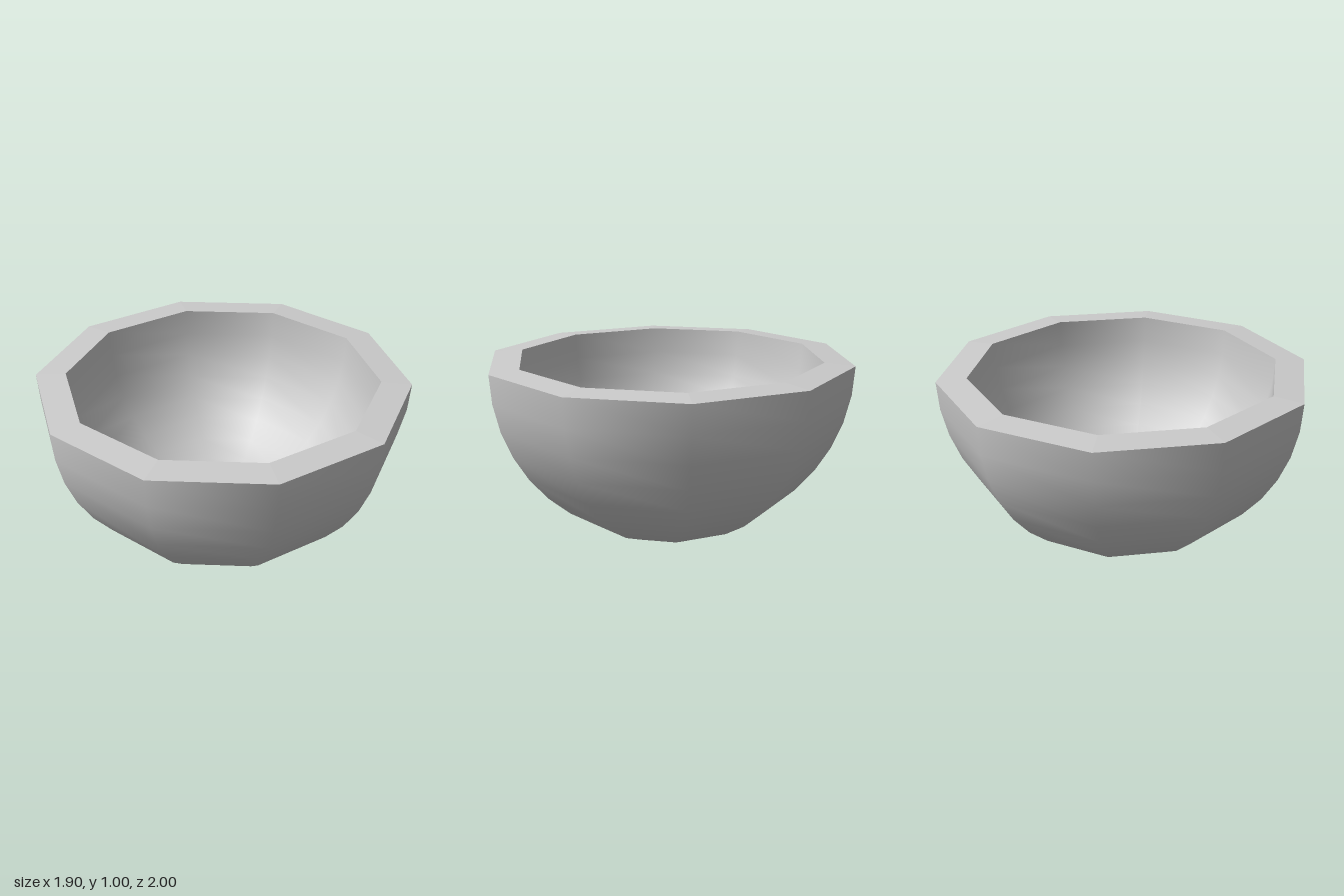
import * as THREE from 'three';

const SIDES = 10;       // facets around the bowl
const STEP = Math.PI / 20; // 9 degrees between rings
const CENTRE = Math.cos(STEP); // height of the sphere centre above the flat base
const INNER = 0.838;    // inner radius
const RIM_RISE = 0.012; // inner lip sits slightly higher than the outer one

// Half-sphere profile from the flat bottom up to the rim
function bowlProfile(radius, rise = 0) {
  const points = [new THREE.Vector2(0, CENTRE - radius * Math.cos(STEP))];
  for (let i = 1; i <= 10; i++) {
    const a = i * STEP;
    const lift = i === 10 ? rise : 0;
    points.push(new THREE.Vector2(radius * Math.sin(a), CENTRE - radius * Math.cos(a) + lift));
  }
  return points;
}

function lathe(name, points, flatShading = false) {
  const material = new THREE.MeshStandardMaterial({ color: 0xcccccc, flatShading });
  const mesh = new THREE.Mesh(new THREE.LatheGeometry(points, SIDES), material);
  mesh.name = name;
  return mesh;
}

export function createModel() {
  const bowl = new THREE.Group();
  bowl.name = 'bowl';

  const outer = bowlProfile(1);
  const inner = bowlProfile(INNER, RIM_RISE).reverse(); // downwards, so it faces inwards

  bowl.add(lathe('outerShell', outer));
  bowl.add(lathe('innerShell', inner));
  // Faceted ring joining the two shells
  bowl.add(lathe('rim', [outer[outer.length - 1].clone(), inner[0].clone()], true));

  return bowl;
}
